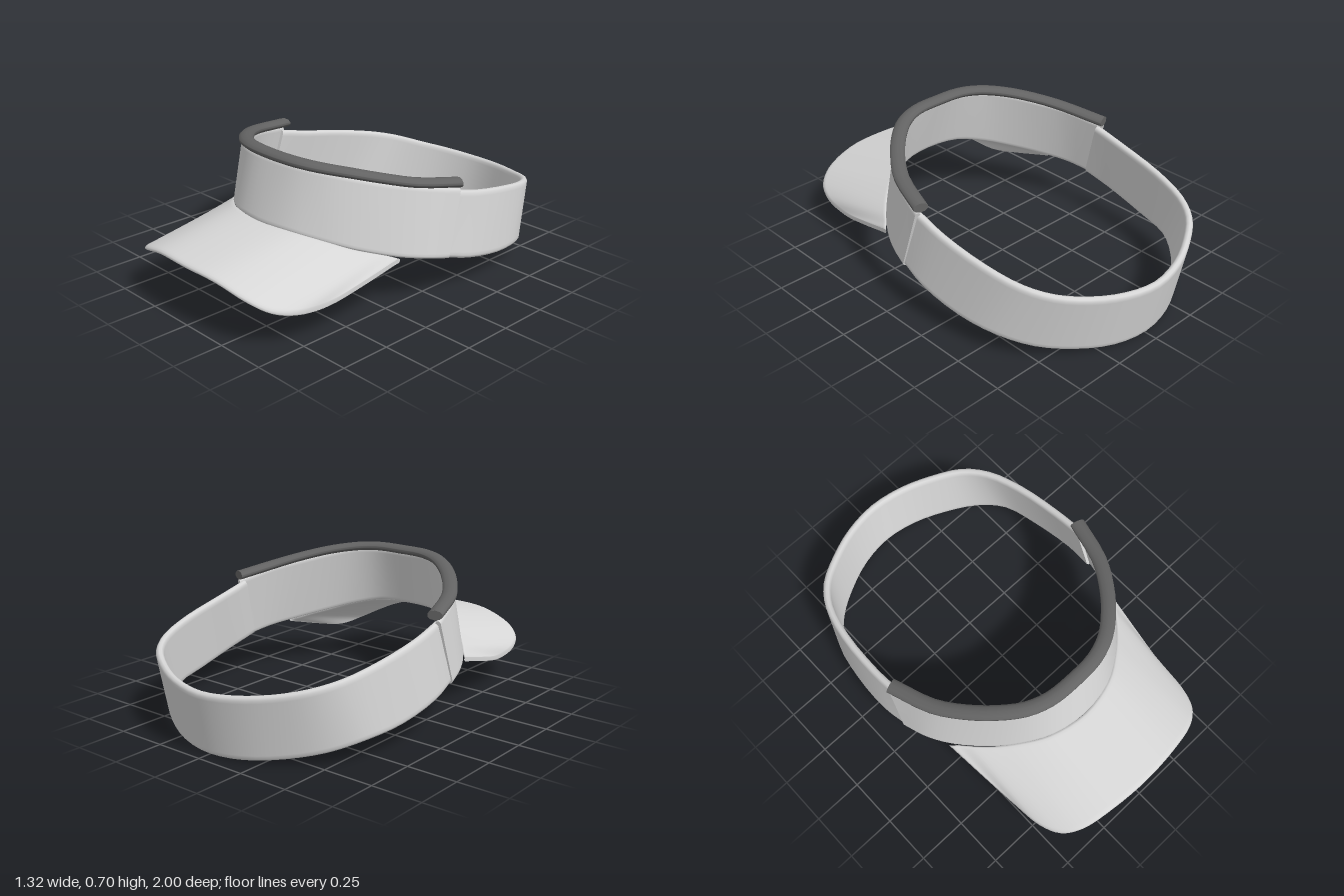
import * as THREE from 'three';

const V = (p) => new THREE.Vector3(...p);

// Half a rail is listed from the centre line to the model's left; mirror it to a full curve.
function rail(half, reverse = false) {
  const left = half.slice(1).map(([x, y, z]) => [-x, y, z]).reverse();
  const pts = [...left, ...half].map(V);
  return new THREE.CatmullRomCurve3(reverse ? pts.reverse() : pts);
}

// Soft-edged slab lofted between a bottom and a top rail, thickened inwards.
function slab(bottom, top, thick, edge, steps, fixedNormal) {
  const pos = [], idx = [];
  let ring = 0;
  for (let i = 0; i <= steps; i++) {
    const u = i / steps;
    const b = bottom.getPoint(u), t = top.getPoint(u);
    const up = t.clone().sub(b);
    const e = Math.min(edge / up.length(), 0.35);
    const n = fixedNormal ? fixedNormal.clone()
      : top.getTangent(u).add(bottom.getTangent(u)).cross(up).normalize();
    const outer = [e, Math.min(2 * e, 0.45), 0.5, Math.max(1 - 2 * e, 0.55), 1 - e];
    const section = [
      ...outer.map((f) => [f, 0]),
      [1 - e * 0.3, 0.18], [1, 0.5], [1 - e * 0.3, 0.82],
      ...outer.slice().reverse().map((f) => [f, 1]),
      [e * 0.3, 0.82], [0, 0.5], [e * 0.3, 0.18],
    ];
    ring = section.length;
    for (const [f, d] of section) {
      const p = b.clone().addScaledVector(up, f).addScaledVector(n, -d * thick);
      pos.push(p.x, p.y, p.z);
    }
  }
  for (let i = 0; i < steps; i++) {
    for (let j = 0; j < ring; j++) {
      const a = i * ring + j, b = i * ring + (j + 1) % ring;
      idx.push(a, a + ring, b + ring, a, b + ring, b);
    }
  }
  // End caps use their own vertices so that their edges stay sharp.
  for (const end of [0, steps]) {
    const start = pos.length / 3;
    for (let k = 0; k < ring * 3; k++) pos.push(pos[end * ring * 3 + k]);
    for (let j = 1; j < ring - 1; j++) {
      if (end === 0) idx.push(start, start + j, start + j + 1);
      else idx.push(start, start + j + 1, start + j);
    }
  }
  const g = new THREE.BufferGeometry();
  g.setAttribute('position', new THREE.Float32BufferAttribute(pos, 3));
  g.setIndex(idx);
  g.computeVertexNormals();
  return g;
}

export function createModel() {
  const fabric = new THREE.MeshStandardMaterial({ color: 0xd6d6d6 });
  fabric.name = 'light grey fabric';
  const piping = new THREE.MeshStandardMaterial({ color: 0x636363 });
  piping.name = 'dark grey piping';

  const model = new THREE.Group();
  model.name = 'sunVisor';
  const add = (name, geometry, material) => {
    const mesh = new THREE.Mesh(geometry, material);
    mesh.name = name;
    model.add(mesh);
  };

  // Stiff front panel, leaning back
  const panelTop = rail([[0, 0.675, 0.495], [0.15, 0.675, 0.485], [0.27, 0.667, 0.44],
    [0.375, 0.645, 0.355], [0.47, 0.615, 0.245], [0.56, 0.585, 0.105], [0.63, 0.54, -0.1]]);
  const panelBottom = rail([[0, 0.385, 0.58], [0.18, 0.38, 0.55], [0.32, 0.35, 0.47],
    [0.43, 0.315, 0.375], [0.55, 0.275, 0.23], [0.615, 0.25, 0.11], [0.65, 0.225, -0.01]]);
  add('frontPanel', slab(panelBottom, panelTop, 0.025, 0.012, 36), fabric);

  // Thick rolled trim along the panel's upper edge
  const trimLine = [[0, 0.685, 0.51], [0.15, 0.685, 0.5], [0.27, 0.677, 0.455],
    [0.38, 0.66, 0.37], [0.48, 0.633, 0.26], [0.57, 0.6, 0.12], [0.642, 0.565, -0.1]];
  const shifted = (dy) => rail(trimLine.map(([x, y, z]) => [x, y + dy, z]));
  add('topTrim', slab(shifted(-0.024), shifted(0.022), 0.07, 0.016, 36), piping);

  // Strap around the back, dropping towards the rear
  const strapTop = rail([[0, 0.31, -1], [0.18, 0.32, -0.97], [0.34, 0.34, -0.9],
    [0.47, 0.37, -0.81], [0.55, 0.4, -0.69], [0.6, 0.44, -0.5], [0.62, 0.49, -0.25],
    [0.617, 0.533, -0.08]], true);
  const strapBottom = rail([[0, 0.005, -0.94], [0.18, 0.012, -0.91], [0.35, 0.035, -0.83],
    [0.5, 0.07, -0.72], [0.6, 0.11, -0.58], [0.645, 0.135, -0.38], [0.66, 0.185, -0.15],
    [0.642, 0.23, 0]], true);
  add('backStrap', slab(strapBottom, strapTop, 0.035, 0.015, 42), fabric);

  // Arched brim, from the panel's lower edge out to its rounded front
  const brimInner = rail([[0, 0.395, 0.575], [0.2, 0.388, 0.535], [0.33, 0.358, 0.455],
    [0.42, 0.327, 0.38], [0.49, 0.305, 0.305], [0.53, 0.29, 0.255], [0.555, 0.28, 0.23],
    [0.56, 0.275, 0.22]]);
  const brimOuter = rail([[0, 0.308, 0.998], [0.2, 0.3, 0.985], [0.37, 0.255, 0.95],
    [0.455, 0.215, 0.89], [0.498, 0.187, 0.79], [0.515, 0.177, 0.63], [0.535, 0.215, 0.45],
    [0.557, 0.27, 0.25]]);
  add('brim', slab(brimOuter, brimInner, 0.022, 0.014, 56, new THREE.Vector3(0, 1, 0)), fabric);

  return model;
}
